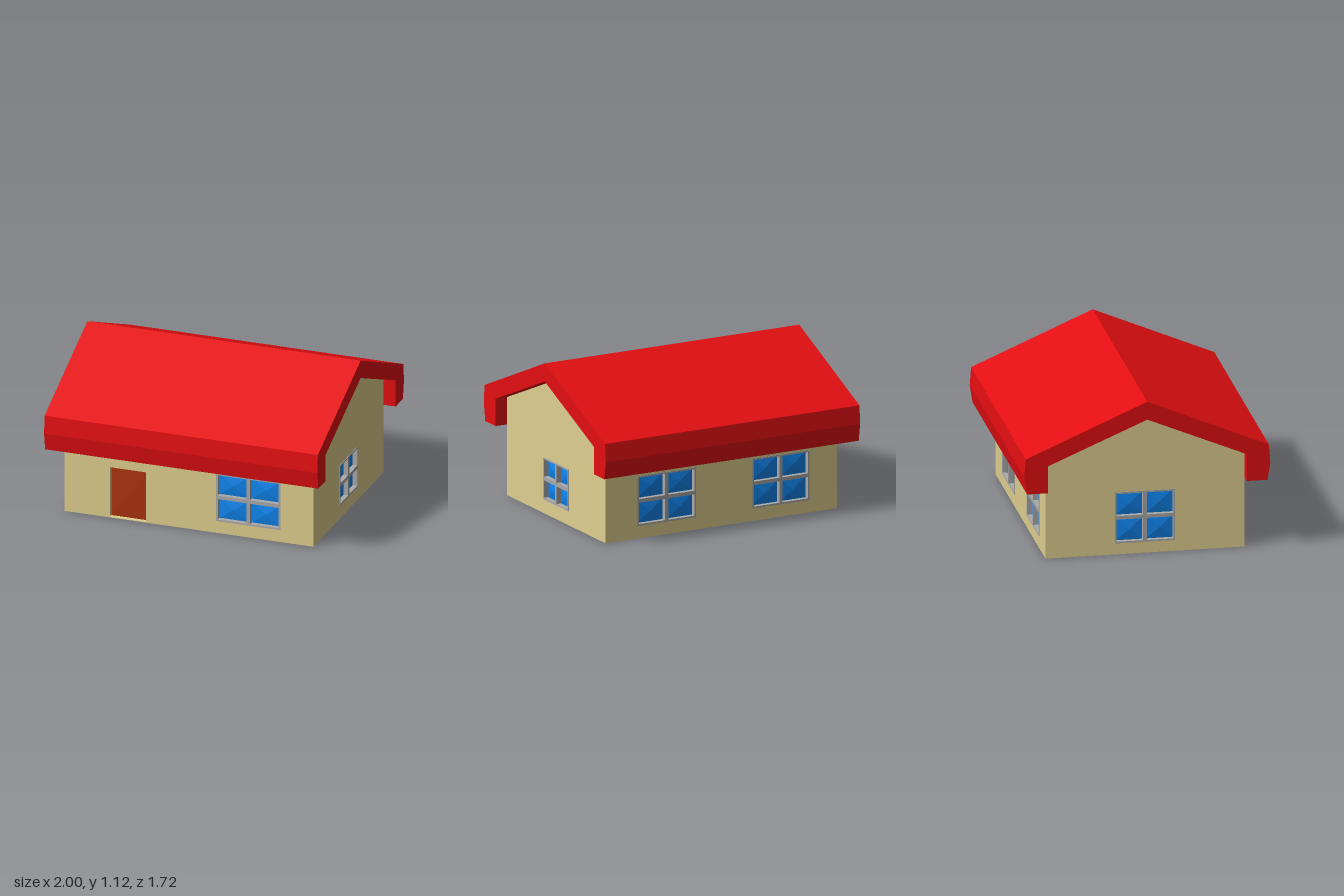
import * as THREE from 'three';

const mat = (color) => new THREE.MeshStandardMaterial({ color, flatShading: true });
const wallMat = mat(0xe0cf8f), roofMat = mat(0xe50e12), glassMat = mat(0x0f86f0);
const frameMat = mat(0xaaaaaa), doorMat = mat(0xab330f);

const W = 0.91, D = 0.695, EAVE = 0.7, RIDGE = 0.995; // half width, half depth, heights
const T = 0.035; // depth of the wall recesses

const polygon = (points) => new THREE.Shape(points.map(([x, y]) => new THREE.Vector2(x, y)));
const rect = (x0, y0, x1, y1) => [[x0, y0], [x1, y0], [x1, y1], [x0, y1]];

function mesh(name, geometry, material) {
  const m = new THREE.Mesh(geometry, material);
  m.name = name;
  return m;
}

function extrude(name, points, holes, depth, material) {
  const shape = polygon(points);
  for (const h of holes) shape.holes.push(polygon(h));
  return mesh(name, new THREE.ExtrudeGeometry(shape, { depth, bevelEnabled: false }), material);
}

// Shallow four-sided pyramid filling a rectangle, pointing outward
function pyramid(name, [x0, y0, x1, y1], height, material) {
  const g = new THREE.ConeGeometry(Math.SQRT1_2, 1, 4, 1, true);
  g.rotateY(Math.PI / 4).rotateX(Math.PI / 2).translate(0, 0, 0.5);
  g.scale(x1 - x0, y1 - y0, height);
  g.translate((x0 + x1) / 2, (y0 + y1) / 2, 0);
  return mesh(name, g, material);
}

// Four panes in a thin frame with a cross of glazing bars
function makeWindow([x0, y0, x1, y1]) {
  const group = new THREE.Group();
  group.name = 'window';
  const edge = 0.012, bar = 0.013, cx = (x0 + x1) / 2, cy = (y0 + y1) / 2;
  const panes = [];
  for (const [a, b] of [[x0 + edge, cx - bar], [cx + bar, x1 - edge]])
    for (const [c, d] of [[y0 + edge, cy - bar], [cy + bar, y1 - edge]])
      panes.push([a, c, b, d]);
  const frame = extrude('windowFrame', rect(x0, y0, x1, y1), panes.map((p) => rect(...p)), T + 0.004, frameMat);
  frame.position.z = -T;
  group.add(frame);
  for (const p of panes) {
    const pane = pyramid('windowPane', p, 0.012, glassMat);
    pane.position.z = -T + 0.004;
    group.add(pane);
  }
  return group;
}

// Wall panel in local space: z = 0 is the outer face
function makeWall(name, outline, windows, door) {
  const group = new THREE.Group();
  group.name = name;
  const openings = [...windows, ...(door ? [door] : [])].map((o) => rect(...o));
  const panel = extrude('wallPanel', outline, openings, T, wallMat);
  panel.position.z = -T;
  group.add(panel);
  for (const w of windows) group.add(makeWindow(w));
  if (door) {
    const leaf = pyramid('door', door, 0.006, doorMat);
    leaf.position.z = -T + 0.003;
    group.add(leaf);
  }
  return group;
}

export function createModel() {
  const house = new THREE.Group();
  house.name = 'house';

  const gable = [[-D, 0], [D, 0], [D, EAVE], [0, RIDGE], [-D, EAVE]];
  const longWall = rect(-W + T, 0, W - T, EAVE);

  // Solid interior behind the wall panels
  const inner = D - T;
  const core = extrude('core',
    [[-inner, 0], [inner, 0], [inner, EAVE], [0, RIDGE - 0.005], [-inner, EAVE]], [], 2 * (W - T), wallMat);
  core.rotation.y = Math.PI / 2;
  core.position.x = -(W - T);
  house.add(core);

  // Four walls with their windows and the door
  const front = makeWall('frontWall', longWall, [[0.2, 0.09, 0.67, 0.445]], [-0.58, 0.005, -0.315, 0.375]);
  front.position.z = D;
  const back = makeWall('backWall', longWall, [[-0.66, 0.09, -0.2, 0.445], [0.245, 0.09, 0.69, 0.445]]);
  back.position.z = -D;
  back.rotation.y = Math.PI;
  const left = makeWall('leftWall', gable, [[-0.18, 0.1, 0.18, 0.4]]);
  left.position.x = W;
  left.rotation.y = Math.PI / 2;
  const right = makeWall('rightWall', gable, [[-0.21, 0.08, 0.21, 0.45]]);
  right.position.x = -W;
  right.rotation.y = -Math.PI / 2;
  house.add(front, back, left, right);

  // Roof: one mirrored section run along the length
  const outer = [[0.84, 0.505], [0.86, 0.63], [0.85, 0.76]];
  const under = [[D, EAVE], [D, 0.505]];
  const half = [...under, ...outer];
  const mirrored = half.map(([z, y]) => [-z, y]).reverse();
  const roof = extrude('roof', [[0, RIDGE], ...half, [0, 1.125], ...mirrored], [], 2, roofMat);
  roof.rotation.y = Math.PI / 2;
  roof.position.x = -1;
  house.add(roof);

  return house;
}
